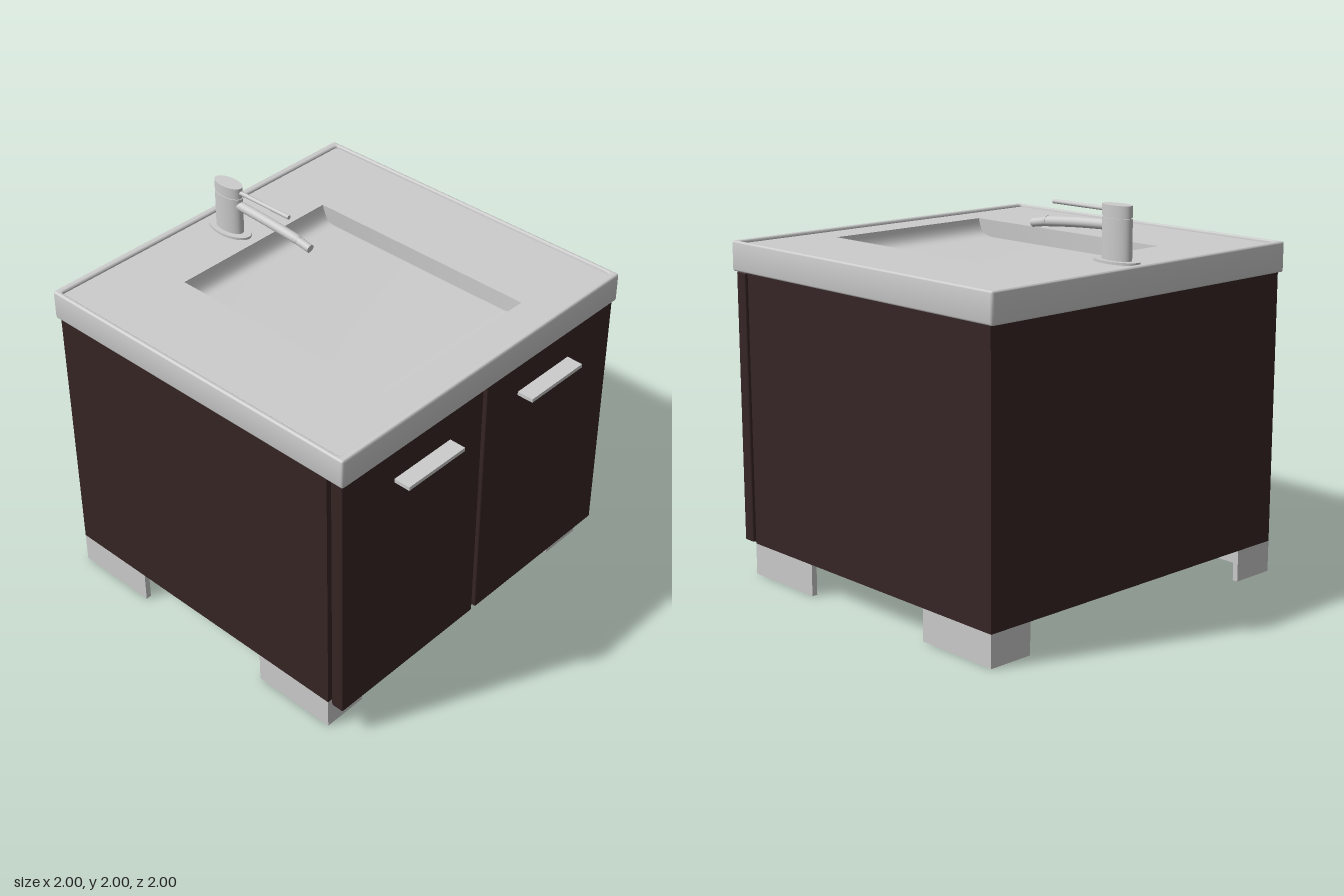
import * as THREE from 'three';
import { toCreasedNormals } from 'three/addons/utils/BufferGeometryUtils.js';
import { RoundedBoxGeometry } from 'three/addons/geometries/RoundedBoxGeometry.js';

export function createModel() {
  const model = new THREE.Group();
  model.name = 'vanityCabinet';

  const material = (name, color) => {
    const m = new THREE.MeshStandardMaterial({ color });
    m.name = name;
    return m;
  };
  const wood = material('darkWood', 0x372525);
  const white = material('paleGrey', 0xcccccc);

  const add = (name, geometry, mat, parent = model) => {
    const mesh = new THREE.Mesh(geometry, mat);
    mesh.name = name;
    parent.add(mesh);
    return mesh;
  };
  // Box given by its limits on each axis; r rounds the edges
  const box = (name, mat, [x0, x1], [y0, y1], [z0, z1], r = 0) => {
    const size = [x1 - x0, y1 - y0, z1 - z0];
    const geometry = r ? new RoundedBoxGeometry(...size, 2, r) : new THREE.BoxGeometry(...size);
    return add(name, geometry.translate((x0 + x1) / 2, (y0 + y1) / 2, (z0 + z1) / 2), mat);
  };
  // Rectangle with rounded corners in plan; shape y is -z
  const trace = (path, x0, x1, z0, z1, r) => {
    const a = -z1, b = -z0;
    path.moveTo(x0 + r, a).lineTo(x1 - r, a).quadraticCurveTo(x1, a, x1, a + r);
    path.lineTo(x1, b - r).quadraticCurveTo(x1, b, x1 - r, b);
    path.lineTo(x0 + r, b).quadraticCurveTo(x0, b, x0, b - r);
    path.lineTo(x0, a + r).quadraticCurveTo(x0, a, x0 + r, a);
    return path;
  };
  // Horizontal frame between an outer and an inner rectangle
  const frame = (name, outer, inner, y0, y1, bevel) => {
    const shape = trace(new THREE.Shape(), ...outer);
    shape.holes.push(trace(new THREE.Path(), ...inner));
    const geometry = new THREE.ExtrudeGeometry(shape, {
      depth: y1 - y0 - 2 * bevel, bevelEnabled: bevel > 0, bevelThickness: bevel,
      bevelSize: bevel, bevelOffset: -bevel, bevelSegments: 3, curveSegments: 5,
    });
    geometry.rotateX(-Math.PI / 2).translate(0, y0 + bevel, 0);
    return add(name, toCreasedNormals(geometry, 0.6), white);
  };

  // Cabinet, with the doors standing slightly clear of it
  box('cabinetBody', wood, [-0.985, 0.985], [0.165, 1.585], [-0.975, 0.815]);
  box('rightDoor', wood, [-0.985, -0.013], [0.165, 1.583], [0.838, 0.91], 0.008);
  box('leftDoor', wood, [0.013, 0.985], [0.165, 1.583], [0.838, 0.91], 0.008);

  // Handles and L-shaped corner feet
  for (const s of [-1, 1]) {
    const side = s < 0 ? 'right' : 'left';
    const span = (a, b) => (s < 0 ? [-b, -a] : [a, b]);
    box(side + 'Handle', white, span(0.25, 0.64), [1.4, 1.42], [0.908, 1]);
    for (const [end, long, short] of [
      ['Front', [0.345, 0.785], [0.785, 0.815]],
      ['Back', [-0.945, -0.505], [-0.975, -0.945]],
    ]) {
      box(side + end + 'FootSide', white, span(0.955, 0.985), [0, 0.165], long);
      box(side + end + 'FootEnd', white, span(0.74, 0.985), [0, 0.165], short);
    }
  }

  // Counter: raised rim, deck with an opening, and the basin floor
  frame('counterRim', [-1, 1, -1, 0.925, 0.015], [-0.975, 0.975, -0.96, 0.885, 0.02], 1.585, 1.74, 0.01);
  frame('counterDeck', [-0.98, 0.98, -0.965, 0.89, 0.02], [-0.495, 0.492, -0.605, 0.715, 0.004], 1.585, 1.725, 0);
  const profile = new THREE.Shape();
  profile.moveTo(-0.605, 1.586).lineTo(0.715, 1.586).lineTo(0.715, 1.722);
  profile.bezierCurveTo(0.7, 1.65, 0.67, 1.635, 0.6, 1.632);
  profile.lineTo(-0.52, 1.632);
  profile.bezierCurveTo(-0.57, 1.635, -0.58, 1.65, -0.605, 1.722);
  const basin = new THREE.ExtrudeGeometry(profile, { depth: 0.987, bevelEnabled: false, curveSegments: 10 });
  basin.rotateY(-Math.PI / 2).translate(0.492, 0, 0);
  add('basinFloor', toCreasedNormals(basin, 0.6), white);

  // Faucet: oval flange, body and cap
  const faucet = new THREE.Group();
  faucet.name = 'faucet';
  model.add(faucet);
  const oval = (name, rx, rz, y0, y1) => {
    const geometry = new THREE.CylinderGeometry(1, 1, y1 - y0, 40);
    geometry.scale(rx, 1, rz).translate(0, (y0 + y1) / 2, -0.79);
    add(name, geometry, white, faucet);
  };
  oval('faucetFlange', 0.072, 0.138, 1.72, 1.738);
  oval('faucetBody', 0.045, 0.09, 1.73, 1.937);
  oval('faucetNeck', 0.04, 0.084, 1.935, 1.947);
  oval('faucetCap', 0.045, 0.09, 1.945, 2);

  // Rod between two points in the x = 0 plane
  const rod = (name, [y0, z0], [y1, z1], r0, r1) => {
    const from = new THREE.Vector3(0, y0, z0);
    const to = new THREE.Vector3(0, y1, z1);
    const dir = to.clone().sub(from);
    const mesh = add(name, new THREE.CylinderGeometry(r1, r0, dir.length(), 20), white, faucet);
    mesh.position.copy(from).add(to).multiplyScalar(0.5);
    mesh.quaternion.setFromUnitVectors(new THREE.Vector3(0, 1, 0), dir.normalize());
  };
  rod('faucetLever', [1.973, -0.73], [1.973, -0.365], 0.011, 0.011);

  // Curved spout with a tilted nozzle
  const curve = new THREE.CatmullRomCurve3([[1.897, -0.74], [1.894, -0.66], [1.885, -0.5], [1.869, -0.31]]
    .map(([y, z]) => new THREE.Vector3(0, y, z)));
  add('faucetSpout', new THREE.TubeGeometry(curve, 20, 0.025, 20), white, faucet);
  rod('spoutCollar', [1.871, -0.325], [1.867, -0.296], 0.026, 0.021);
  rod('spoutNozzle', [1.867, -0.31], [1.853, -0.222], 0.022, 0.022);

  return model;
}
